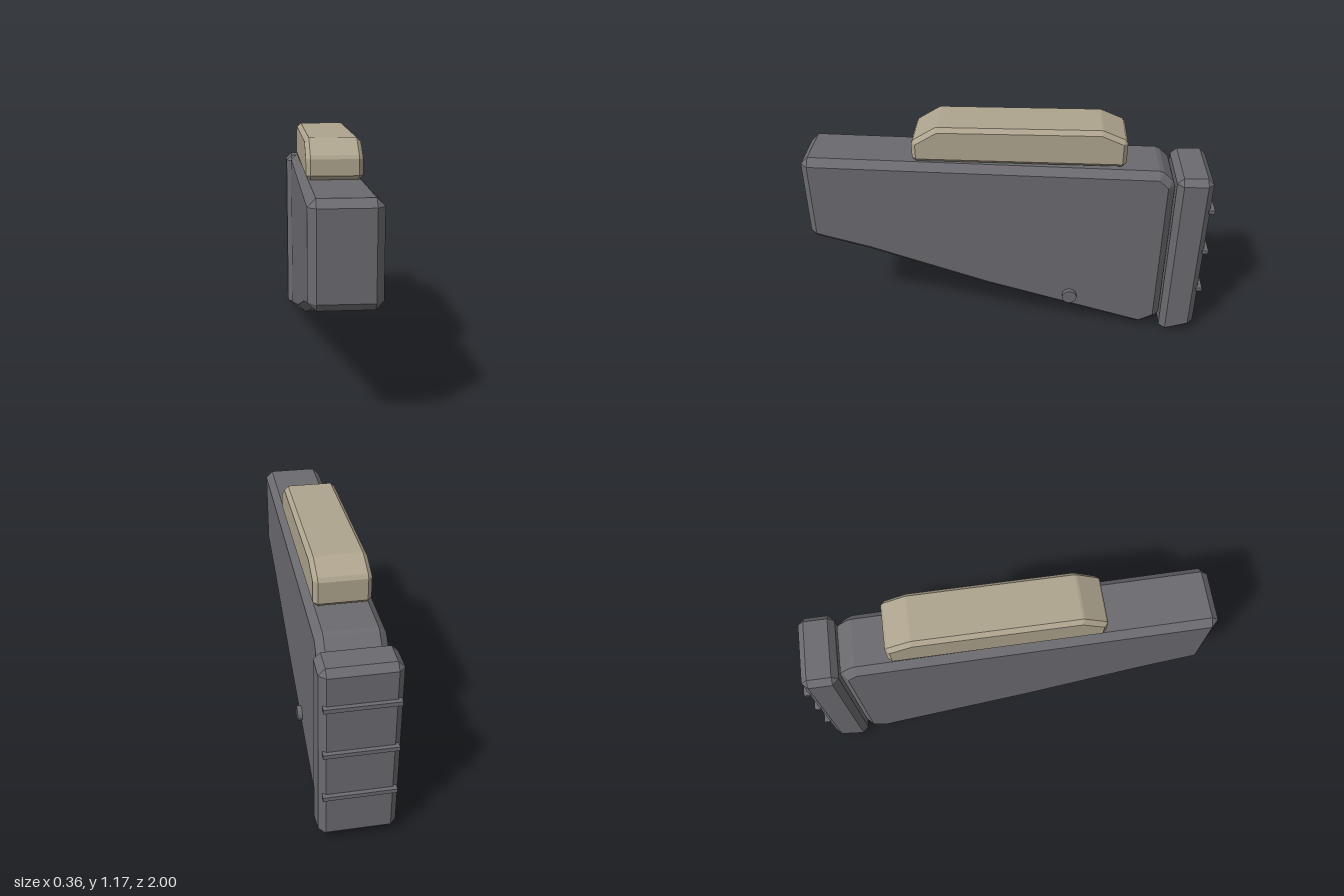
import * as THREE from 'three';

// Prism along x from a side profile of [z, y] points (sharp side faces),
// with every edge chamfered outward by b. Half width is w.
function chamferedPrism(profile, w, b) {
  const pts = profile.map(([z, y]) => new THREE.Vector2(-z, y)); // counter-clockwise seen from +x
  const n = pts.length;
  const normals = pts.map((p, i) => {
    const d = pts[(i + 1) % n].clone().sub(p).normalize();
    return new THREE.Vector2(d.y, -d.x);
  });
  // Two offset points per corner, or one shared mitre where the bend is slight
  const corners = pts.map((p, i) => {
    const a = normals[(i + n - 1) % n], c = normals[i];
    const soft = a.dot(c) > 0.97;
    const mid = a.clone().add(c).normalize();
    const at = (v) => p.clone().addScaledVector(v, b);
    return { soft, before: at(soft ? mid : a), after: at(soft ? mid : c) };
  });

  const pos = [];
  const tri = (p, q, r) => pos.push(...p, ...q, ...r);
  const quad = (p, q, r, s) => { tri(p, q, r); tri(p, r, s); };
  const v = (p, x) => [x, p.y, -p.x];
  const inner = w - b;

  // Side faces
  for (const [i, j, k] of THREE.ShapeUtils.triangulateShape(pts, [])) {
    tri(v(pts[i], w), v(pts[j], w), v(pts[k], w));
    tri(v(pts[k], -w), v(pts[j], -w), v(pts[i], -w));
  }
  for (let i = 0; i < n; i++) {
    const j = (i + 1) % n;
    const s = corners[i], e = corners[j].before;
    // Rim face and its two chamfers
    quad(v(s.after, inner), v(s.after, -inner), v(e, -inner), v(e, inner));
    quad(v(pts[i], w), v(s.after, inner), v(e, inner), v(pts[j], w));
    quad(v(pts[j], -w), v(e, -inner), v(s.after, -inner), v(pts[i], -w));
    // Corner chamfer with its end triangles
    if (!s.soft) {
      quad(v(s.before, inner), v(s.before, -inner), v(s.after, -inner), v(s.after, inner));
      tri(v(pts[i], w), v(s.before, inner), v(s.after, inner));
      tri(v(pts[i], -w), v(s.after, -inner), v(s.before, -inner));
    }
  }
  const geo = new THREE.BufferGeometry();
  geo.setAttribute('position', new THREE.Float32BufferAttribute(pos, 3));
  geo.computeVertexNormals();
  return geo;
}

export function createModel() {
  const group = new THREE.Group();
  const grey = new THREE.MeshStandardMaterial({ color: 0x6b6a6f });
  grey.name = 'dark grey';
  const tan = new THREE.MeshStandardMaterial({ color: 0xaea48e });
  tan.name = 'tan';

  const add = (name, geo, mat, x = 0, y = 0, z = 0) => {
    const mesh = new THREE.Mesh(geo, mat);
    mesh.name = name;
    mesh.position.set(x, y, z);
    group.add(mesh);
    return mesh;
  };

  // Tapered main body
  add('stockBody', chamferedPrism([
    [0.965, 0.58], [0.7, 0.505], [0.1, 0.297], [-0.695, 0.062],
    [-0.765, 0.1], [-0.765, 0.89], [-0.72, 0.932], [0.965, 0.967],
  ], 0.155, 0.035), grey);

  // Rear pad
  add('buttPad', chamferedPrism([
    [-0.835, 0.032], [-0.95, 0.068], [-0.95, 0.915], [-0.835, 0.915],
  ], 0.178, 0.03), grey);

  // Raised rest on top
  add('cheekRest', chamferedPrism([
    [0.44, 1.012], [-0.54, 1.003], [-0.54, 1.107], [-0.435, 1.152],
    [0.335, 1.152], [0.44, 1.087],
  ], 0.13, 0.02), tan);

  // Grip ribs across the back of the pad
  for (const y of [0.768, 0.528, 0.288]) {
    add('padRib', new THREE.BoxGeometry(0.33, 0.02, 0.03), grey, 0, y, -0.985);
  }

  // Pin on the left side
  const pin = add('sidePin', new THREE.CylinderGeometry(0.038, 0.038, 0.03, 12).toNonIndexed(), grey, 0.163, 0.225, -0.32);
  pin.geometry.computeVertexNormals();
  pin.rotation.z = Math.PI / 2;

  return group;
}
